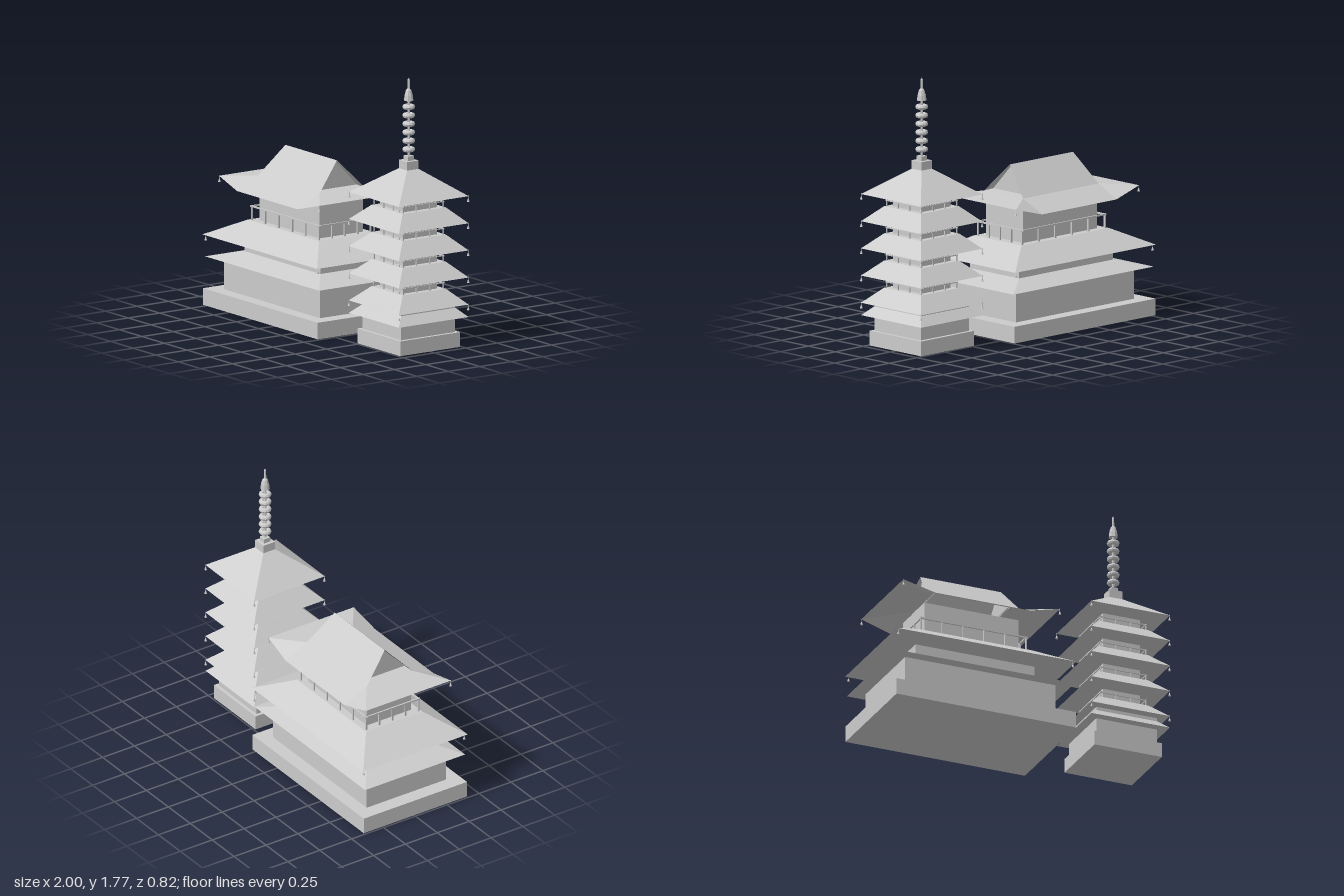
import * as THREE from 'three';

const mat = new THREE.MeshStandardMaterial({ color: 0xcccccc, flatShading: true });
const thin = new THREE.MeshStandardMaterial({ color: 0xcccccc, flatShading: true, side: THREE.DoubleSide });

function add(parent, name, geo, x = 0, y = 0, z = 0, material = mat) {
  const mesh = new THREE.Mesh(geo, material);
  mesh.name = name;
  mesh.position.set(x, y, z);
  parent.add(mesh);
  return mesh;
}

// Box from half sizes, standing between two heights
function block(parent, name, hx, hz, y0, y1, x = 0, z = 0) {
  return add(parent, name, new THREE.BoxGeometry(hx * 2, y1 - y0, hz * 2), x, (y0 + y1) / 2, z);
}

// Hipped roof: a box whose top is drawn in
function hipRoof(parent, name, hx, hz, topX, topZ, y0, y1) {
  const roof = block(parent, name, hx, hz, y0, y1);
  const p = roof.geometry.attributes.position;
  for (let i = 0; i < p.count; i++) {
    if (p.getY(i) > 0) {
      p.setX(i, Math.sign(p.getX(i)) * topX);
      p.setZ(i, Math.sign(p.getZ(i)) * topZ);
    }
  }
  roof.geometry.computeVertexNormals();
}

// Small bells hanging under four roof corners
function cornerBells(parent, hx, hz, y) {
  for (const sx of [-1, 1]) for (const sz of [-1, 1]) {
    const bell = new THREE.Group();
    bell.name = 'cornerBell';
    bell.position.set(sx * hx, y, sz * hz);
    add(bell, 'bellCord', new THREE.CylinderGeometry(0.0015, 0.0015, 0.024, 5), 0, -0.01, 0);
    add(bell, 'bellBody', new THREE.CylinderGeometry(0.003, 0.009, 0.02, 8), 0, -0.03, 0);
    parent.add(bell);
  }
}

// Railing around a rectangle, with nx and nz gaps between posts
function railing(parent, hx, hz, y, h, nx, nz, r) {
  const rail = new THREE.Group();
  rail.name = 'railing';
  for (const s of [-1, 1]) {
    block(rail, 'handrail', hx + r * 2, r, y + h - r * 2, y + h, 0, s * hz);
    block(rail, 'handrail', r, hz + r * 2, y + h - r * 2, y + h, s * hx, 0);
    for (let i = 0; i <= nx; i++) block(rail, 'post', r, r, y, y + h, -hx + (2 * hx * i) / nx, s * hz);
    for (let i = 1; i < nz; i++) block(rail, 'post', r, r, y, y + h, s * hx, -hz + (2 * hz * i) / nz);
  }
  parent.add(rail);
}

// Thin surface from polygons given as corner lists
function panels(parent, name, polygons) {
  const pos = [];
  for (const c of polygons)
    for (let i = 1; i < c.length - 1; i++) pos.push(...c[0], ...c[i], ...c[i + 1]);
  const geo = new THREE.BufferGeometry();
  geo.setAttribute('position', new THREE.Float32BufferAttribute(pos, 3));
  geo.computeVertexNormals();
  return add(parent, name, geo, 0, 0, 0, thin);
}

// Hip-and-gable roof with upturned corners
function gableRoof(parent) {
  const slopes = [], skirts = [], gables = [];
  // list corners counter-clockwise on both mirrored halves
  const face = (list, flip, ...c) => list.push(flip ? c.reverse() : c);
  for (const s of [-1, 1]) {
    const ridge = (k) => [k * 0.285, 1.08, 0];
    const knee = (k) => [k * 0.34, 0.89, s * 0.18];
    const eave = (k) => [k * 0.335, 0.81, s * 0.35];
    const flip = s < 0;
    face(slopes, flip, ridge(-1), knee(-1), knee(1), ridge(1));
    face(slopes, flip, knee(-1), eave(-1), eave(1), knee(1));
    for (const k of [-1, 1])
      face(slopes, s * k < 0, knee(k), eave(k), [k * 0.555, 0.87, s * 0.335]);
    // side skirt runs in under the gable
    face(skirts, flip, [s * 0.34, 0.89, 0.18], [s * 0.555, 0.87, 0.335],
      [s * 0.555, 0.87, -0.335], [s * 0.34, 0.89, -0.18]);
    face(skirts, flip, [s * 0.26, 0.895, 0.17], [s * 0.34, 0.89, 0.18],
      [s * 0.34, 0.89, -0.18], [s * 0.26, 0.895, -0.17]);
    face(gables, flip, [s * 0.265, 1.075, 0], [s * 0.265, 0.89, 0.178], [s * 0.265, 0.89, -0.178]);
  }
  panels(parent, 'upperRoofSlopes', slopes);
  panels(parent, 'upperRoofSkirts', skirts);
  panels(parent, 'gableWalls', gables);
}

function buildHall() {
  const hall = new THREE.Group();
  hall.name = 'hall';
  hall.position.x = -0.365;
  block(hall, 'hallBase', 0.635, 0.405, 0.01, 0.12);
  block(hall, 'lowerWalls', 0.533, 0.312, 0.12, 0.33);
  hipRoof(hall, 'lowerRoof', 0.632, 0.392, 0.43, 0.235, 0.33, 0.382);
  block(hall, 'middleWalls', 0.422, 0.228, 0.38, 0.48);
  hipRoof(hall, 'middleRoof', 0.635, 0.41, 0.395, 0.222, 0.477, 0.594);
  cornerBells(hall, 0.618, 0.395, 0.48);
  railing(hall, 0.372, 0.205, 0.594, 0.096, 5, 4, 0.005);
  block(hall, 'upperWalls', 0.332, 0.172, 0.594, 0.815);
  gableRoof(hall);
  cornerBells(hall, 0.553, 0.333, 0.87);
  return hall;
}

function buildPagoda() {
  const pagoda = new THREE.Group();
  pagoda.name = 'pagoda';
  pagoda.position.x = 0.714;
  block(pagoda, 'pagodaBase', 0.238, 0.238, 0, 0.098);
  block(pagoda, 'groundWalls', 0.215, 0.215, 0.098, 0.285);
  hipRoof(pagoda, 'skirtRoof', 0.277, 0.277, 0.217, 0.217, 0.2, 0.258);
  // Five tiers of roof, the top one rising to a point
  for (let i = 0; i < 5; i++) {
    const y = 0.282 + i * 0.1795;
    const last = i === 4;
    hipRoof(pagoda, 'tierRoof', 0.278, 0.278, last ? 0.045 : 0.172, last ? 0.045 : 0.172, y, y + (last ? 0.17 : 0.1));
    cornerBells(pagoda, 0.276, 0.276, y + 0.004);
    if (last) break;
    block(pagoda, 'tierWalls', 0.132, 0.132, y + 0.1, y + 0.182);
    railing(pagoda, 0.16, 0.16, y + 0.1, 0.042, 3, 3, 0.0035);
  }
  // Spire
  block(pagoda, 'spirePlinth', 0.046, 0.046, 1.165, 1.225);
  block(pagoda, 'spireCap', 0.024, 0.024, 1.225, 1.255);
  add(pagoda, 'spirePole', new THREE.CylinderGeometry(0.009, 0.009, 0.39, 8), 0, 1.44, 0);
  for (let i = 0; i < 6; i++) {
    const ring = add(pagoda, 'spireRing', new THREE.TorusGeometry(0.025, 0.017, 8, 12), 0, 1.297 + i * 0.0562, 0);
    ring.rotation.x = Math.PI / 2;
  }
  const profile = [[0, 1.62], [0.031, 1.62], [0.027, 1.655], [0.018, 1.688], [0.008, 1.7], [0.007, 1.76], [0, 1.77]];
  add(pagoda, 'finial', new THREE.LatheGeometry(profile.map(([r, y]) => new THREE.Vector2(r, y)), 8));
  return pagoda;
}

export function createModel() {
  const model = new THREE.Group();
  model.name = 'templeHallAndPagoda';
  model.add(buildHall(), buildPagoda());
  return model;
}
